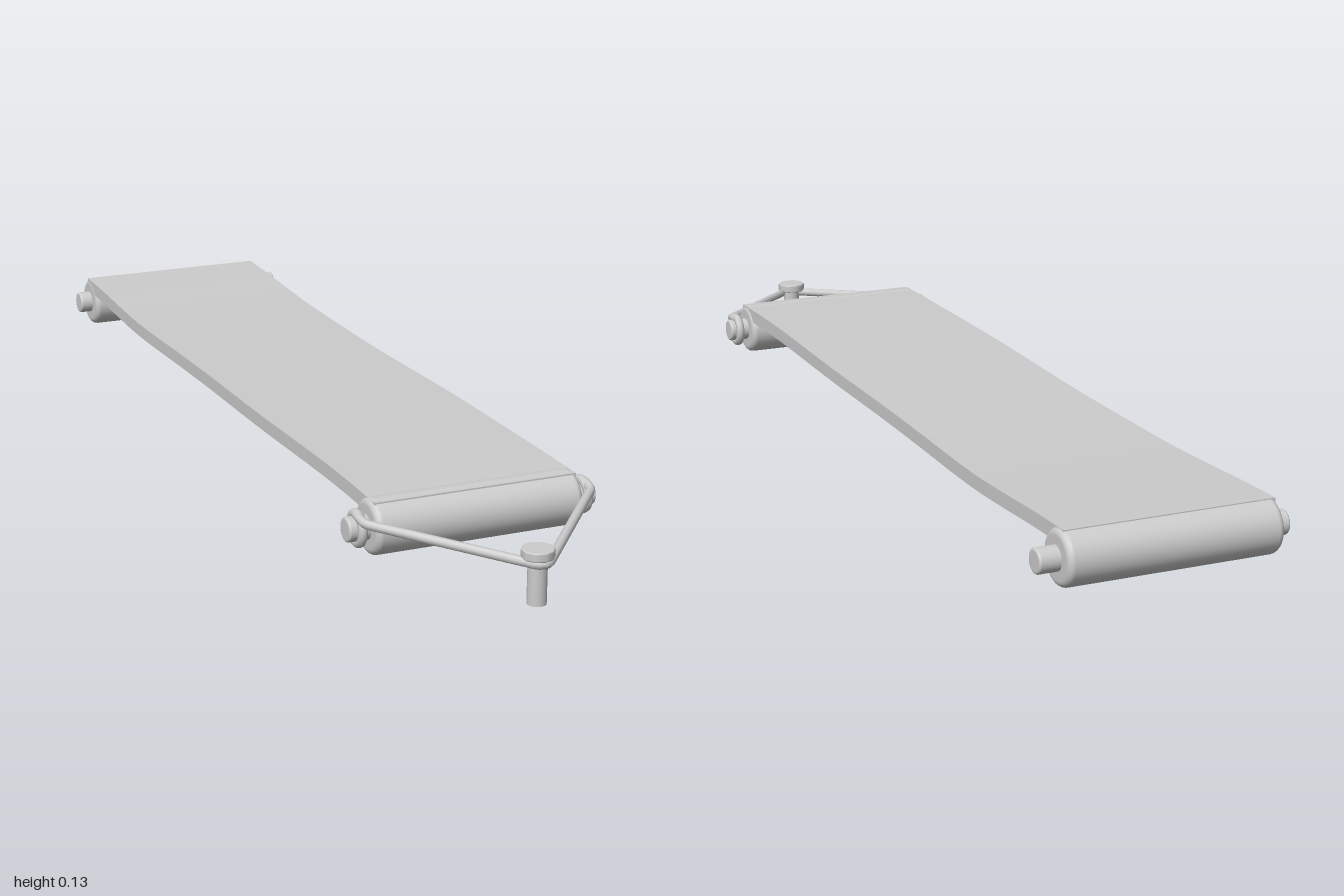
import * as THREE from 'three';

const grey = new THREE.MeshStandardMaterial({ color: 0xcccccc });
grey.name = 'pale grey';

function add(parent, name, geometry) {
  const mesh = new THREE.Mesh(geometry, grey);
  mesh.name = name;
  parent.add(mesh);
  return mesh;
}

// Solid round bar lying along x, with softly rounded ends
function bar(radius, halfLength, bevel, sides) {
  const pts = [new THREE.Vector2(0, -halfLength)];
  for (const end of [-1, 1]) {
    for (let i = 0; i <= 4; i++) {
      const a = (end < 0 ? i : 4 - i) * Math.PI / 8;
      pts.push(new THREE.Vector2(
        radius - bevel + bevel * Math.sin(a),
        end * (halfLength - bevel + bevel * Math.cos(a))));
    }
  }
  pts.push(new THREE.Vector2(0, halfLength));
  return new THREE.LatheGeometry(pts, sides).rotateZ(-Math.PI / 2);
}

// Long sheet that sags gently between the two rolls
function sheetGeometry() {
  const top = new THREE.CatmullRomCurve3([
    [-0.96, 0.134], [-0.85, 0.131], [-0.6, 0.121], [-0.35, 0.122],
    [0, 0.127], [0.3, 0.132], [0.55, 0.134], [0.72, 0.132],
  ].map(([z, y]) => new THREE.Vector3(0, y, z)));
  const n = 48;
  const g = new THREE.BoxGeometry(1, 1, 1, 4, 1, n);
  const p = g.attributes.position;
  for (let i = 0; i < p.count; i++) {
    const c = top.getPoint(p.getZ(i) + 0.5);
    const half = 0.206 + 0.006 * THREE.MathUtils.smoothstep(-c.z, 0.3, 0.9)
      + 0.0015 * Math.sin(c.z * 9);
    p.setXYZ(i, p.getX(i) * 2 * half, p.getY(i) > 0 ? c.y : c.y - 0.029, c.z);
  }
  g.computeVertexNormals();
  return g;
}

export function createModel() {
  const model = new THREE.Group();
  model.name = 'hangingScroll';

  add(model, 'sheet', sheetGeometry());

  // Rolled ends with their rods
  const ends = [
    { name: 'front', z: 0.698, half: 0.211, x: -0.002, rod: 0.253 },
    { name: 'back', z: -0.946, half: 0.215, x: 0.003, rod: 0.25 },
  ];
  for (const e of ends) {
    const group = new THREE.Group();
    group.name = e.name + 'Roller';
    group.position.set(e.x, 0.08, e.z);
    model.add(group);
    add(group, e.name + 'Roll', bar(0.054, e.half, 0.013, 40));
    add(group, e.name + 'Rod', bar(0.024, e.rod, 0.005, 24)).position.x = e.name === 'back' ? 0.007 : 0;
  }

  // Cord: a loop round each rod end and two straight runs meeting at the peg
  const cord = new THREE.Group();
  cord.name = 'hangingCord';
  model.add(cord);
  for (const s of [-1, 1]) {
    const loop = add(cord, s > 0 ? 'leftLoop' : 'rightLoop',
      new THREE.TorusGeometry(0.028, 0.009, 10, 28).rotateY(Math.PI / 2));
    loop.position.set(s * 0.231, 0.08, 0.698);
  }
  const path = new THREE.CurvePath();
  const v = (x, y, z) => new THREE.Vector3(x, y, z);
  const right = [v(-0.231, 0.106, 0.69), v(-0.23, 0.1, 0.735), v(-0.018, 0.08, 0.975)];
  const left = right.map((q) => v(-q.x, q.y, q.z)).reverse();
  path.add(new THREE.QuadraticBezierCurve3(right[0], v(-0.236, 0.107, 0.715), right[1]));
  path.add(new THREE.LineCurve3(right[1], right[2]));
  path.add(new THREE.QuadraticBezierCurve3(right[2], v(0, 0.078, 0.995), left[0]));
  path.add(new THREE.LineCurve3(left[0], left[1]));
  path.add(new THREE.QuadraticBezierCurve3(left[1], v(0.236, 0.107, 0.715), left[2]));
  add(cord, 'cord', new THREE.TubeGeometry(path, 90, 0.009, 10, false));

  // Peg the cord hangs from
  const peg = new THREE.Group();
  peg.name = 'peg';
  peg.position.set(-0.004, 0, 0.968);
  model.add(peg);
  add(peg, 'pegShaft', new THREE.CylinderGeometry(0.018, 0.018, 0.095, 16)).position.y = 0.0475;
  const head = bar(0.031, 0.009, 0.003, 10).rotateZ(Math.PI / 2);
  add(peg, 'pegHead', head).position.y = 0.096;

  return model;
}
